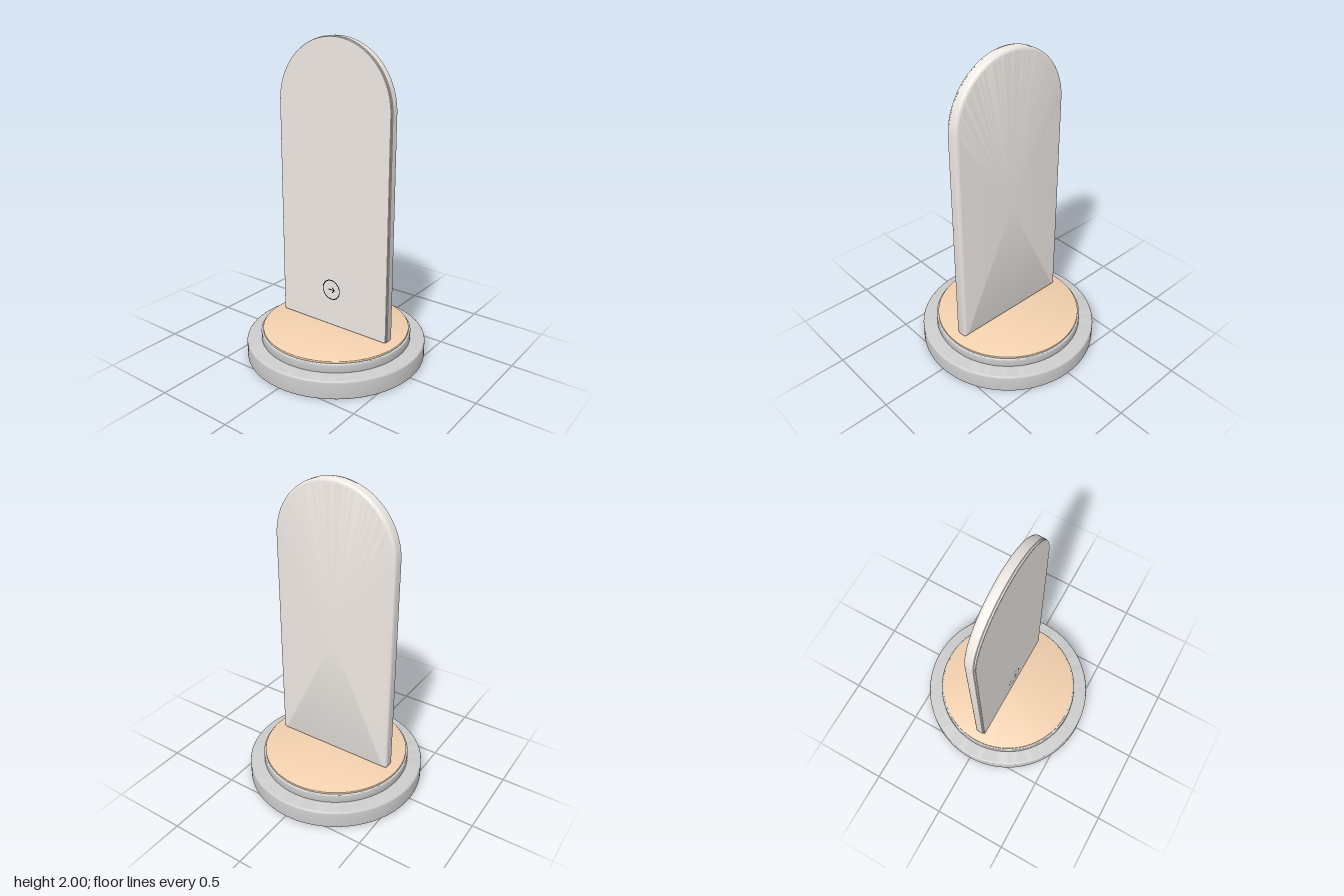
import * as THREE from 'three';
import { toCreasedNormals, mergeGeometries } from 'three/addons/utils/BufferGeometryUtils.js';

const grey = new THREE.MeshStandardMaterial({ color: 0xcccccc });
const wood = new THREE.MeshStandardMaterial({ color: 0xf2d0ae });
const ivory = new THREE.MeshStandardMaterial({ color: 0xeee8e3 });
const black = new THREE.MeshStandardMaterial({ color: 0x111111, side: THREE.DoubleSide });

function add(group, name, geometry, material) {
  const mesh = new THREE.Mesh(geometry, material);
  mesh.name = name;
  group.add(mesh);
  return mesh;
}

// Round slab with softened top and bottom edges
function slab(radius, y0, y1, bevel) {
  const points = [new THREE.Vector2(0, y0)];
  const steps = 5;
  for (let i = 0; i <= steps; i++) {
    const a = -Math.PI / 2 + (i / steps) * Math.PI / 2;
    points.push(new THREE.Vector2(radius - bevel + bevel * Math.cos(a), y0 + bevel + bevel * Math.sin(a)));
  }
  for (let i = 0; i <= steps; i++) {
    const a = (i / steps) * Math.PI / 2;
    points.push(new THREE.Vector2(radius - bevel + bevel * Math.cos(a), y1 - bevel + bevel * Math.sin(a)));
  }
  points.push(new THREE.Vector2(0, y1));
  return toCreasedNormals(new THREE.LatheGeometry(points, 96), 0.6);
}

// Arched outline, counter-clockwise from the front, shrunk by an inset
function archOutline(inset) {
  const w = 0.405 - inset, bottom = 0.19 + inset, top = 1.595, r = 0.015;
  const points = [];
  const arc = (cx, cy, radius, from, to, n) => {
    for (let i = 0; i <= n; i++) {
      const a = from + (to - from) * i / n;
      points.push([cx + radius * Math.cos(a), cy + radius * Math.sin(a)]);
    }
  };
  arc(0, top, w, 0, Math.PI, 64);
  arc(-w + r, bottom + r, r, Math.PI, Math.PI * 1.5, 5);
  arc(w - r, bottom + r, r, Math.PI * 1.5, Math.PI * 2, 5);
  return points;
}

// Closed solid through arched sections [inset, z], ordered back to front
function archSolid(sections) {
  const positions = [], index = [];
  const n = archOutline(0).length;
  for (const [inset, z] of sections)
    for (const [x, y] of archOutline(inset)) positions.push(x, y, z);
  for (let s = 0; s < sections.length - 1; s++)
    for (let i = 0; i < n; i++) {
      const a = s * n + i, b = s * n + (i + 1) % n;
      index.push(a, b, b + n, a, b + n, a + n);
    }
  const last = (sections.length - 1) * n;
  const back = positions.length / 3, front = back + 1;
  positions.push(0, 1, sections[0][1], 0, 1, sections[sections.length - 1][1]);
  for (let i = 0; i < n; i++) {
    const j = (i + 1) % n;
    index.push(back, j, i, front, last + i, last + j);
  }
  const geometry = new THREE.BufferGeometry();
  geometry.setAttribute('position', new THREE.Float32BufferAttribute(positions, 3));
  geometry.setIndex(index);
  return toCreasedNormals(geometry, 0.6);
}

export function createModel() {
  const model = new THREE.Group();

  // Stepped round foot
  add(model, 'base', slab(0.57, 0, 0.12, 0.012), grey);
  add(model, 'baseStep', slab(0.478, 0.115, 0.176, 0.008), grey);
  add(model, 'woodenDisc', slab(0.466, 0.174, 0.188, 0.002), wood);

  // Upright panel: rounded back edge, nearly square front edge
  const sections = [];
  for (let i = 0; i <= 6; i++) {
    const a = (i / 6) * Math.PI / 2, r = 0.02;
    sections.push([r * (1 - Math.sin(a)), -0.037 + r * (1 - Math.cos(a))]);
  }
  sections.push([0, 0.021], [0.004, 0.025]);
  add(model, 'panelBody', archSolid(sections), ivory);
  add(model, 'frontPlate', archSolid([[0.003, 0.025], [0.003, 0.033], [0.005, 0.035]]), ivory);

  // Thin touch sign: ring and arrow just ahead of the panel
  const sign = new THREE.Group();
  sign.name = 'touchSign';
  sign.position.set(0, 0.445, 0.05);
  add(sign, 'signRing', new THREE.RingGeometry(0.061, 0.067, 64), black);
  const parts = [new THREE.PlaneGeometry(0.046, 0.006)];
  for (const side of [-1, 1]) {
    const barb = new THREE.PlaneGeometry(0.025, 0.006);
    barb.translate(-0.0125, 0, 0).rotateZ(side * Math.PI / 4).translate(0.025, 0, 0);
    parts.push(barb);
  }
  add(sign, 'signArrow', mergeGeometries(parts), black);
  model.add(sign);

  return model;
}
